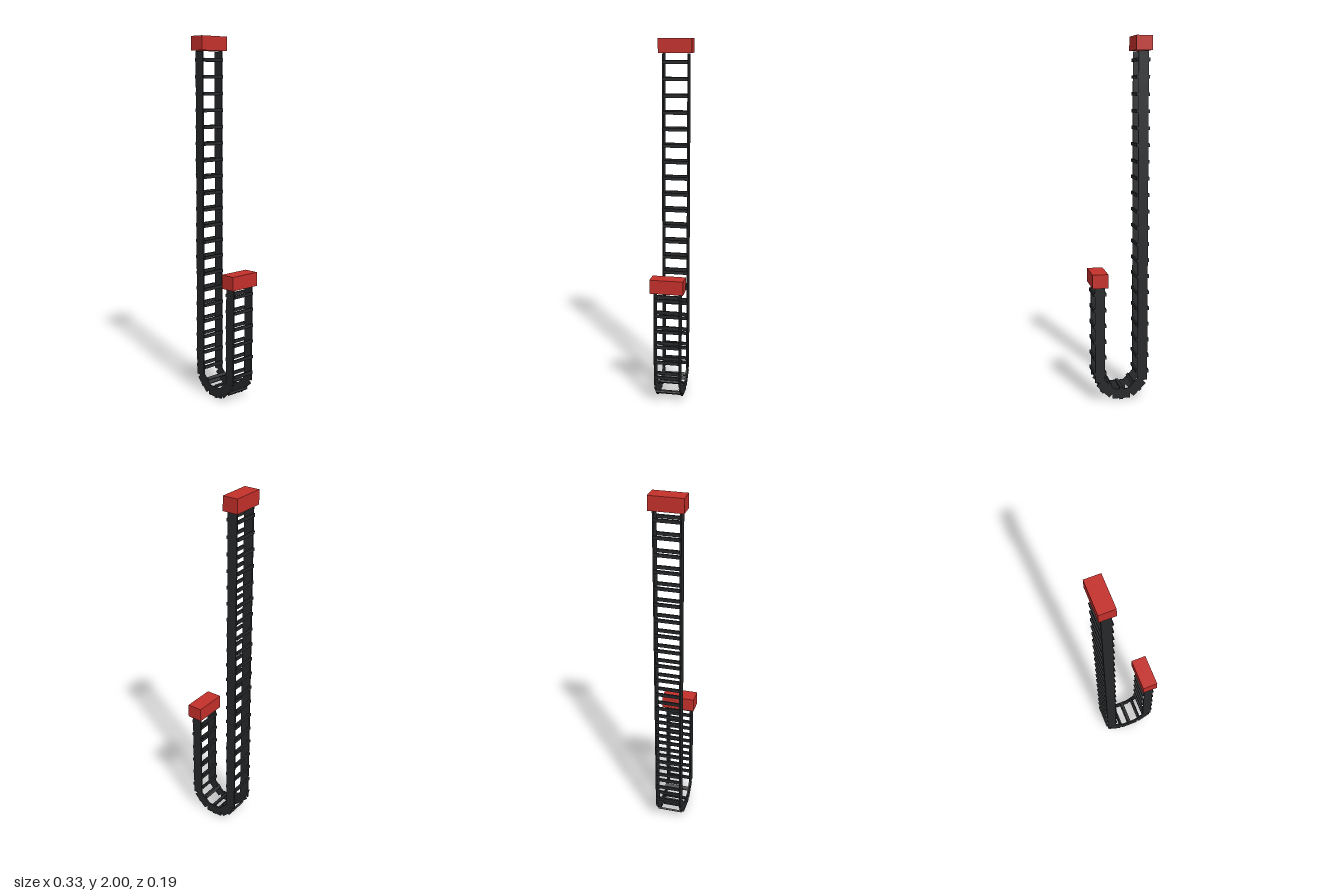
import * as THREE from 'three';

const RADIUS = 0.12;    // bend radius to the chain's centre line
const BEND_Y = 0.155;   // height of the bend centre
const PITCH = 0.0905;   // distance between straight links

const black = new THREE.MeshStandardMaterial({ color: 0x26282a });
const red = new THREE.MeshStandardMaterial({ color: 0xc4302b });

function box(name, w, h, d, x, y, z, material) {
  const mesh = new THREE.Mesh(new THREE.BoxGeometry(w, h, d), material);
  mesh.name = name;
  mesh.position.set(x, y, z);
  return mesh;
}

// One chain link: two thin side plates and two crossbars; its length runs along local y
function makeLink(x, y, angle, length) {
  const link = new THREE.Group();
  link.name = 'chainLink';
  for (const s of [-1, 1]) {
    link.add(box('sidePlate', 0.055, length, 0.008, 0, 0, s * 0.07, black));
    link.add(box('crossbar', 0.01, 0.018, 0.14, s * 0.031, 0, 0, black));
  }
  link.position.set(x, y, 0);
  link.rotation.z = angle;
  return link;
}

export function createModel() {
  const model = new THREE.Group();
  model.name = 'cableChain';

  // Bend at the bottom: five links spread over a half circle
  for (let i = 0; i <= 4; i++) {
    const a = Math.PI + (i * Math.PI) / 4;
    model.add(makeLink(RADIUS * Math.cos(a), BEND_Y + RADIUS * Math.sin(a), a, 0.1));
  }

  // Straight runs: long on the right, short on the left, each with an end bracket
  const runs = [
    { x: -RADIUS, links: 19, top: 2, name: 'upperEndBracket' },
    { x: RADIUS, links: 5, top: 0.725, name: 'lowerEndBracket' },
  ];
  for (const run of runs) {
    for (let i = 1; i <= run.links; i++) {
      model.add(makeLink(run.x, BEND_Y + i * PITCH, 0, PITCH));
    }
    model.add(box(run.name, 0.087, 0.077, 0.185, run.x, run.top - 0.0385, 0, red));
  }
  return model;
}
